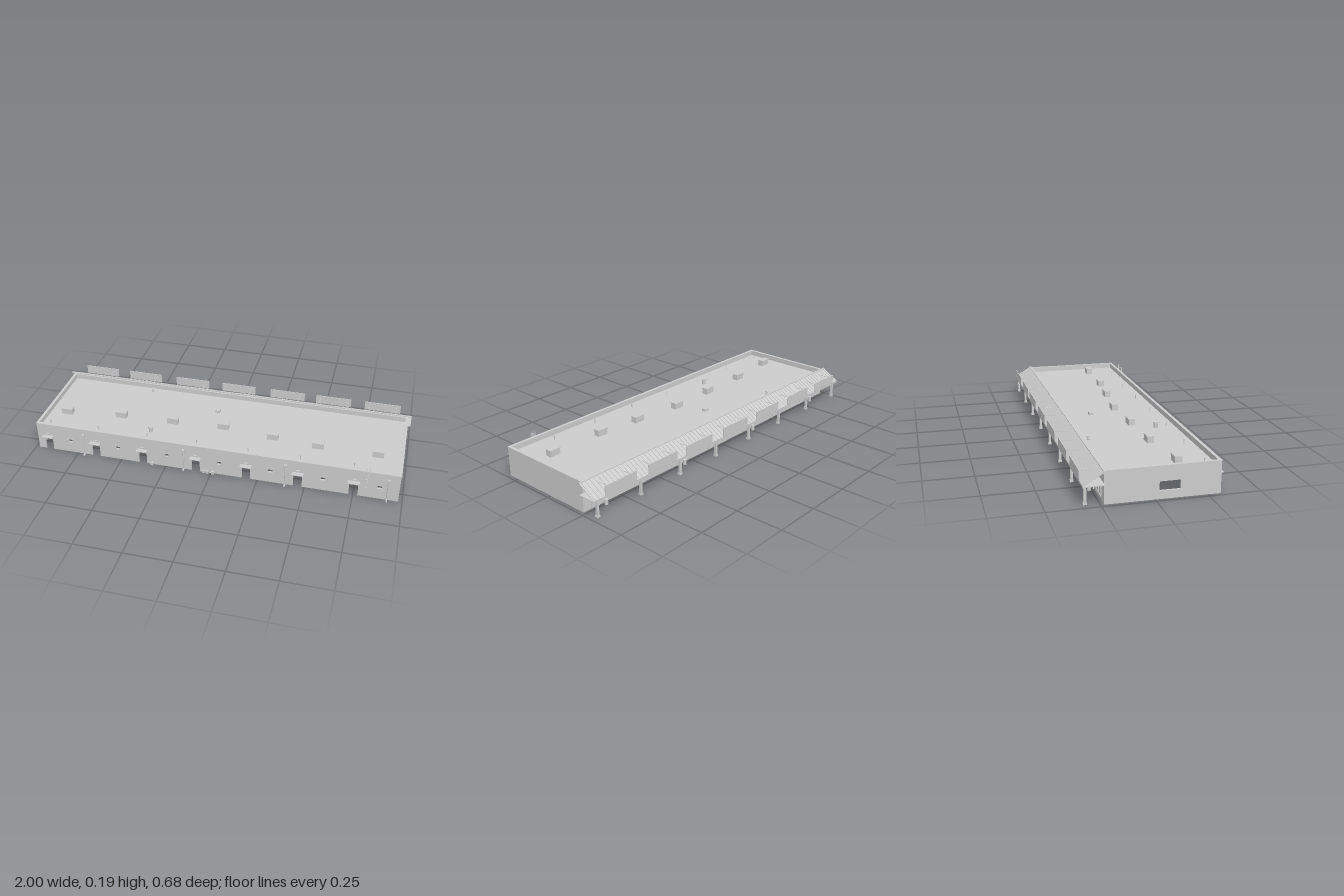
import * as THREE from 'three';

export function createModel() {
  const model = new THREE.Group();
  const grey = new THREE.MeshStandardMaterial({ color: 0xcccccc });
  grey.name = 'plain grey';

  const add = (name, geo, x = 0, y = 0, z = 0, parent = model) => {
    const m = new THREE.Mesh(geo, grey);
    m.name = name;
    m.position.set(x, y, z);
    parent.add(m);
    return m;
  };
  const box = (name, w, h, d, x, y, z, parent) => add(name, new THREE.BoxGeometry(w, h, d), x, y, z, parent);
  const cyl = (name, r, h, x, y, z, sides = 12, parent) =>
    add(name, new THREE.CylinderGeometry(r, r, h, sides), x, y, z, parent);
  const rectHole = (cx, cy, w, h) => {
    const p = new THREE.Path();
    p.moveTo(cx - w / 2, cy - h / 2);
    p.lineTo(cx - w / 2, cy + h / 2);
    p.lineTo(cx + w / 2, cy + h / 2);
    p.lineTo(cx + w / 2, cy - h / 2);
    p.closePath();
    return p;
  };

  const W = 0.98, BACK = -0.235, FRONT = 0.312, H = 0.158, T = 0.011, ROOF = 0.13;
  const doors = [-0.917, -0.644, -0.377, -0.083, 0.19, 0.463, 0.751];
  const windows = [-0.789, -0.516, -0.243, 0.045, 0.318, 0.591, 0.88];

  // front wall with door notches and small windows
  const front = new THREE.Shape();
  front.moveTo(-W, 0);
  for (const x of doors) {
    front.lineTo(x - 0.024, 0);
    front.lineTo(x - 0.024, 0.08);
    front.lineTo(x + 0.024, 0.08);
    front.lineTo(x + 0.024, 0);
  }
  front.lineTo(W, 0);
  front.lineTo(W, H);
  front.lineTo(-W, H);
  front.closePath();
  windows.forEach(x => front.holes.push(rectHole(x, 0.073, 0.026, 0.02)));
  add('frontWall', new THREE.ExtrudeGeometry(front, { depth: T, bevelEnabled: false }), 0, 0, FRONT - T);

  // end walls, one with a window opening
  const depth = FRONT - BACK, midZ = (FRONT + BACK) / 2;
  box('leftWall', T, H, depth, W - T / 2, H / 2, midZ);
  const end = new THREE.Shape();
  end.moveTo(-FRONT, 0);
  end.lineTo(-BACK, 0);
  end.lineTo(-BACK, H);
  end.lineTo(-FRONT, H);
  end.closePath();
  end.holes.push(rectHole(-0.07, 0.062, 0.1, 0.045));
  add('rightWall', new THREE.ExtrudeGeometry(end, { depth: T, bevelEnabled: false }), -W, 0, 0).rotation.y = Math.PI / 2;

  // rear wall, roof deck and parapet coping
  box('rearWall', 2 * W, H, T, 0, H / 2, BACK + T / 2);
  box('roofDeck', 2 * W - 0.01, 0.006, depth - 0.01, 0, ROOF - 0.003, midZ);
  for (const s of [-1, 1]) box('sideCoping', 0.016, 0.004, depth, s * (W - 0.006), H, midZ);
  box('frontCoping', 2 * W + 0.004, 0.004, 0.016, 0, H, FRONT - 0.006);
  box('rearRidge', 2, 0.008, 0.008, 0, 0.159, BACK - 0.001);

  // entrances: canopy, brackets and lamp on the front
  for (const x of doors) {
    box('doorCanopy', 0.06, 0.004, 0.026, x, 0.087, FRONT + 0.013);
    for (const s of [-1, 1]) box('canopyBracket', 0.003, 0.008, 0.018, x + s * 0.026, 0.081, FRONT + 0.009);
    box('doorLamp', 0.02, 0.008, 0.008, x, 0.1, FRONT + 0.004);
    for (const s of [-1, 1]) box('doorJamb', 0.004, 0.08, 0.003, x + s * 0.025, 0.04, FRONT + 0.001);
  }
  for (const x of windows) {
    for (const s of [-1, 1]) {
      box('windowFrameSide', 0.003, 0.024, 0.004, x + s * 0.0135, 0.073, FRONT);
      box('windowFrameRail', 0.03, 0.003, 0.004, x, 0.073 + s * 0.0105, FRONT);
    }
  }

  // downpipes with rain heads
  for (const x of [-0.709, -0.147, 0.398, 0.922]) {
    cyl('downpipe', 0.004, 0.12, x, 0.06, FRONT + 0.006, 8);
    box('rainHead', 0.014, 0.016, 0.013, x, 0.122, FRONT + 0.006);
    box('pipeOutlet', 0.008, 0.007, 0.022, x, 0.006, FRONT + 0.015);
  }

  // meters at the foot of the front wall
  for (const x of [-0.32, -0.035, -0.015, 0.015]) {
    box('meter', 0.014, 0.016, 0.012, x, 0.018, FRONT + 0.018);
    cyl('meterPipe', 0.002, 0.022, x, 0.011, FRONT + 0.012, 6);
  }
  box('meterPipeRun', 0.07, 0.003, 0.003, -0.01, 0.01, FRONT + 0.01);

  // roof access ladder with guard
  const ladder = new THREE.Group();
  ladder.name = 'ladder';
  ladder.position.set(0.815, 0, FRONT + 0.006);
  model.add(ladder);
  for (const s of [-1, 1]) box('ladderRail', 0.0025, 0.13, 0.0025, s * 0.008, 0.123, 0, ladder);
  for (let y = 0.065; y < 0.165; y += 0.012) box('rung', 0.016, 0.0015, 0.0015, 0, y, 0, ladder);
  for (const y of [0.117, 0.14, 0.165])
    add('guardHoop', new THREE.TorusGeometry(0.011, 0.001, 4, 12), 0, y, 0.011, ladder).rotation.x = Math.PI / 2;
  for (const x of [-0.009, 0, 0.009]) box('guardBar', 0.0015, 0.05, 0.0015, x, 0.141, x ? 0.017 : 0.022, ladder);

  // rooftop equipment
  const units = [[-0.872, 0.134], [-0.567, 0.097], [-0.273, 0.087], [0.01, 0.072], [0.289, 0.102], [0.535, 0.125], [0.85, 0.125]];
  for (const [x, z] of units) {
    box('airConditioner', 0.06, 0.032, 0.034, x, ROOF + 0.016, z);
    box('airConditionerLid', 0.064, 0.004, 0.038, x, ROOF + 0.033, z);
  }
  box('roofHatch', 0.028, 0.014, 0.024, -0.06, ROOF + 0.007, -0.075);
  cyl('largeVent', 0.011, 0.026, -0.364, ROOF + 0.013, 0.197, 16);
  cyl('largeVentCap', 0.015, 0.006, -0.364, ROOF + 0.028, 0.197, 16);
  cyl('smallVent', 0.006, 0.018, -0.476, ROOF + 0.009, -0.188);
  cyl('smallVentCap', 0.01, 0.004, -0.476, ROOF + 0.02, -0.188);
  for (let i = 0; i < 7; i++) cyl('ventPipe', 0.0025, 0.025, -0.925 + i * 0.2775, ROOF + 0.0125, 0.25, 6);

  // rear arcade: soffit, fascia and ribbed pitched roof
  box('soffit', 2, 0.004, 0.098, 0, 0.098, -0.284);
  box('fascia', 2, 0.011, 0.004, 0, 0.098, -0.332);
  const pitch = new THREE.Group();
  pitch.name = 'pitchedRoof';
  pitch.position.set(0, 0.13, -0.285);
  pitch.rotation.x = -0.534;
  model.add(pitch);
  box('roofSheet', 2, 0.003, 0.112, 0, 0, 0, pitch);
  const ribGeo = new THREE.BoxGeometry(0.006, 0.003, 0.112);
  for (let i = 0; i < 80; i++) add('roofRib', ribGeo, -0.9875 + i * 0.025, 0.0025, 0, pitch);

  // columns with base and capital
  for (let i = 0; i < 8; i++) {
    const x = -0.97 + i * (1.94 / 7);
    box('column', 0.012, 0.082, 0.012, x, 0.05, -0.319);
    box('columnBase', 0.017, 0.01, 0.017, x, 0.011, -0.319);
    box('columnCapital', 0.017, 0.009, 0.017, x, 0.09, -0.319);
  }

  // blank sign boards, storefronts and fittings for each shop
  const shops = [-0.845, -0.572, -0.28, 0, 0.29, 0.556, 0.835];
  shops.forEach((x, i) => {
    box('signBoard', 0.2, 0.05, 0.004, x, 0.132, -0.337);
    for (const s of [-1, 1])
      box('signRod', 0.002, 0.002, 0.094, x + s * 0.075, 0.144, -0.289).rotation.x = 0.08;

    box('shopDoor', 0.044, 0.085, 0.004, x + 0.075, 0.045, BACK - 0.001);
    box('shopWindow', 0.13, 0.06, 0.004, x - 0.03, 0.056, BACK - 0.001);
    for (let k = 0; k < 4; k++) box('windowMullion', 0.004, 0.064, 0.005, x - 0.095 + k * 0.0433, 0.056, BACK - 0.003);
    for (const y of [0.025, 0.087]) box('windowRail', 0.134, 0.004, 0.005, x - 0.03, y, BACK - 0.003);
    for (const s of [-1, 1]) box('doorFrame', 0.004, 0.09, 0.005, x + 0.075 + s * 0.023, 0.046, BACK - 0.003);
    box('doorHead', 0.05, 0.004, 0.005, x + 0.075, 0.089, BACK - 0.003);
    box('wallLamp', 0.008, 0.03, 0.008, x + 0.11, 0.068, BACK - 0.004);
    if (i % 2 === 0) {
      cyl('litterBin', 0.009, 0.027, x + 0.03, 0.019, -0.264);
      cyl('litterBinRim', 0.0105, 0.003, x + 0.03, 0.033, -0.264);
    }
  });

  return model;
}
